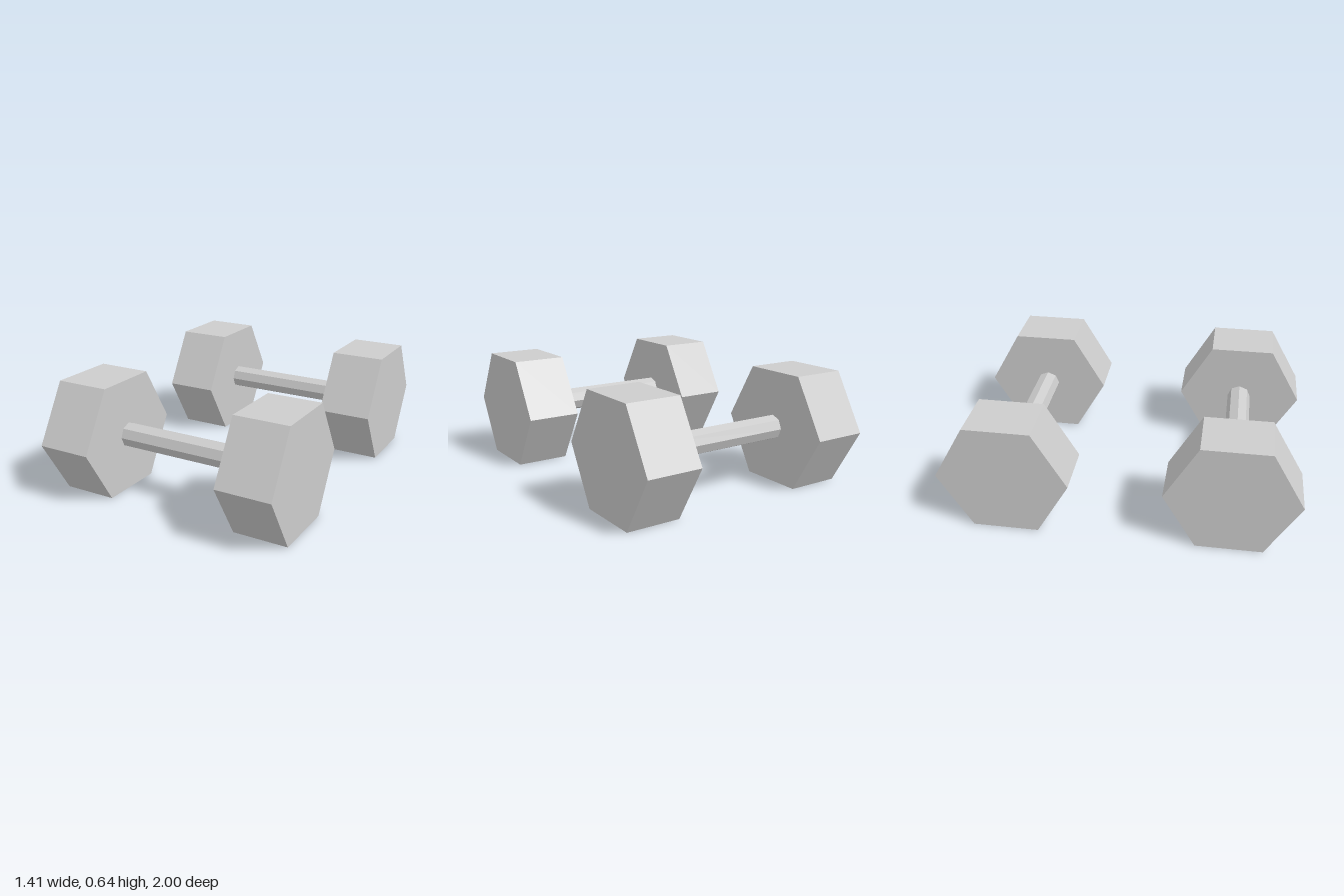
import * as THREE from 'three';

export function createModel() {
  const model = new THREE.Group();
  model.name = 'dumbbellPair';
  const grey = new THREE.MeshStandardMaterial({ color: 0xcccccc, flatShading: true });
  grey.name = 'light grey';

  // Prisms lying along x, with a corner pointing to +z
  const headRadius = 0.372, headWidth = 0.312, headX = 0.549;
  const headY = headRadius * Math.cos(Math.PI / 6);
  const headGeometry = new THREE.CylinderGeometry(headRadius, headRadius, headWidth, 6).rotateZ(Math.PI / 2);
  const handleGeometry = new THREE.CylinderGeometry(0.0705, 0.0705, 0.79, 8, 1, true).rotateZ(Math.PI / 2);

  function part(name, geometry, x) {
    const mesh = new THREE.Mesh(geometry, grey);
    mesh.name = name;
    mesh.position.x = x;
    return mesh;
  }

  // One dumbbell in front, one behind
  for (const [name, z] of [['frontDumbbell', 0.628], ['backDumbbell', -0.628]]) {
    const dumbbell = new THREE.Group();
    dumbbell.name = name;
    dumbbell.position.set(0, headY, z);
    dumbbell.add(
      part('handle', handleGeometry, 0),
      part('leftHead', headGeometry, headX),
      part('rightHead', headGeometry, -headX)
    );
    model.add(dumbbell);
  }
  return model;
}
